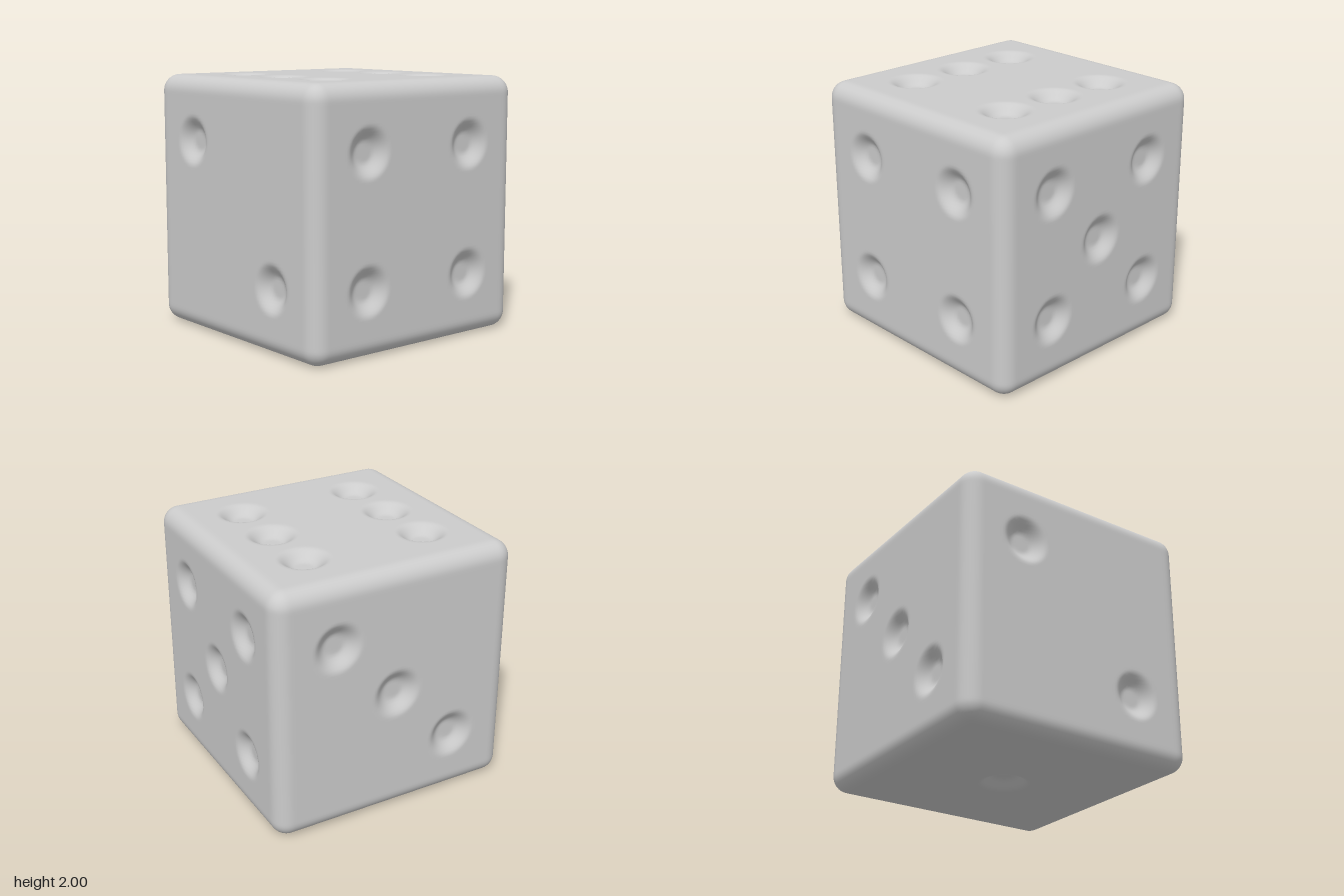
import * as THREE from 'three';
import { mergeVertices } from 'three/addons/utils/BufferGeometryUtils.js';

const HALF = 1;          // half of the cube's side
const EDGE = 0.13;       // edge rounding radius
const RIM = 0.2;         // pip outer radius, where the dish starts
const FLOOR = 0.07;      // pip inner radius, where the floor is flat
const DEPTH = 0.072;     // pip depth

// Pip centres on the cube surface, grouped by face
function pipCentres() {
  const s = 0.5;
  const pips = [[0, -1, 0]];                                   // bottom: one
  pips.push([-1, s, -s], [-1, -s, s]);                         // left-hand -x: two
  pips.push([s, s, -1], [0, 0, -1], [-s, -s, -1]);             // back: three
  for (const a of [-s, s]) {
    for (const b of [-s, s]) pips.push([a, b, 1], [1, a, b]);  // front: four, +x: five
    for (const z of [-s, 0, s]) pips.push([a, 1, z]);          // top: six
  }
  pips.push([1, 0, 0]);
  return pips.map((p) => new THREE.Vector3(...p));
}

export function createModel() {
  const geometry = new THREE.BoxGeometry(2, 2, 2, 90, 90, 90);
  const pos = geometry.attributes.position;
  const pips = pipCentres();
  const p = new THREE.Vector3();
  const core = new THREE.Vector3();
  const normal = new THREE.Vector3();
  const inner = HALF - EDGE;

  for (let i = 0; i < pos.count; i++) {
    // Round the edges and corners
    p.fromBufferAttribute(pos, i);
    core.copy(p).clampScalar(-inner, inner);
    normal.subVectors(p, core).normalize();
    p.copy(core).addScaledVector(normal, EDGE);

    // Press the soft-rimmed pips into the faces
    let dent = 0;
    for (const c of pips) {
      dent = Math.max(dent, 1 - THREE.MathUtils.smoothstep(p.distanceTo(c), FLOOR, RIM));
    }
    p.addScaledVector(normal, -DEPTH * dent);
    pos.setXYZ(i, p.x, p.y + HALF, p.z);
  }

  // Weld the six sides so shading is smooth across the edges
  geometry.deleteAttribute('normal');
  geometry.deleteAttribute('uv');
  const smooth = mergeVertices(geometry, 1e-4);
  smooth.computeVertexNormals();

  const die = new THREE.Mesh(smooth, new THREE.MeshStandardMaterial({ color: 0xcccccc }));
  die.name = 'dieBody';
  const group = new THREE.Group();
  group.name = 'die';
  group.add(die);
  return group;
}
